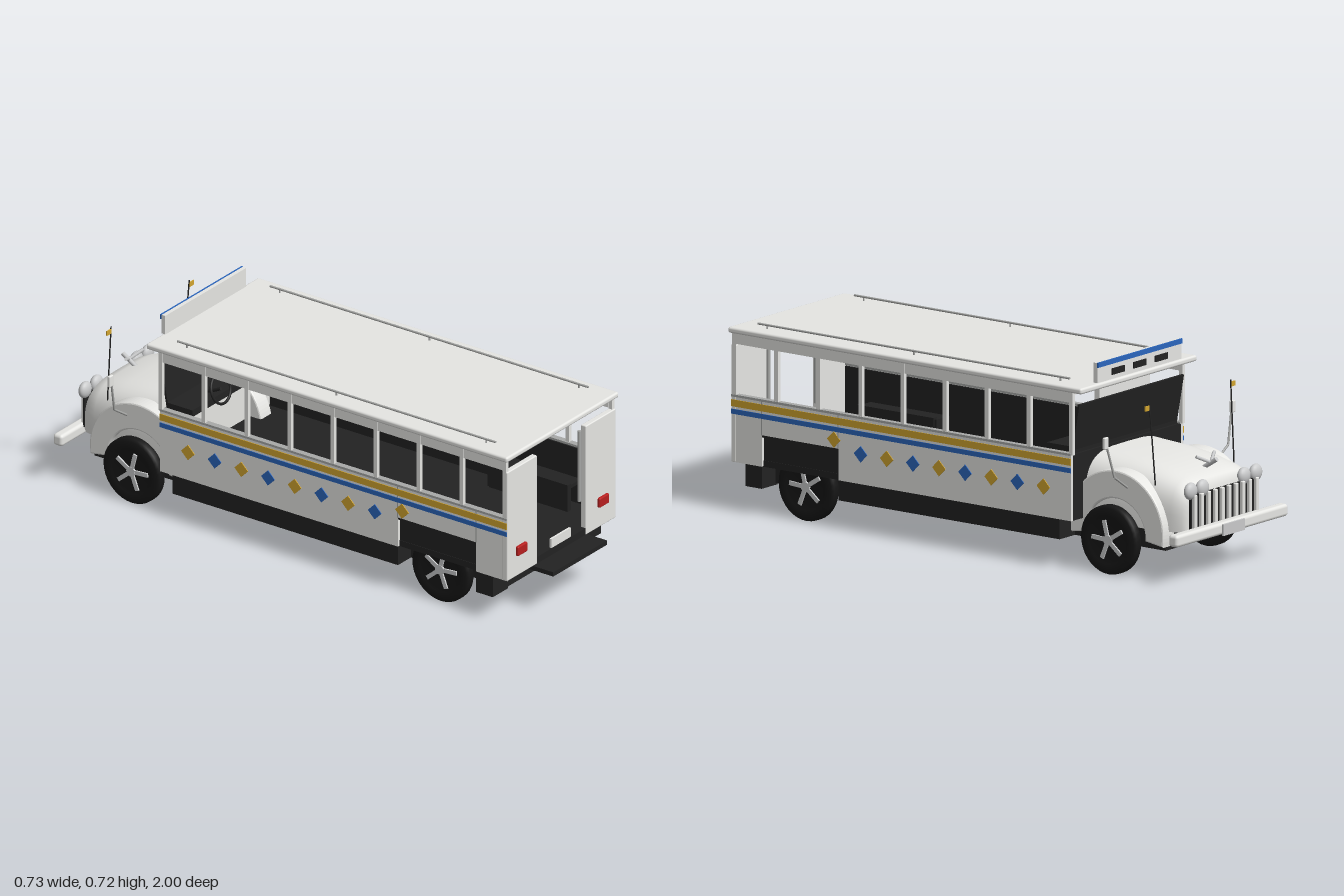
import * as THREE from 'three';
import { RoundedBoxGeometry } from 'three/addons/geometries/RoundedBoxGeometry.js';

const mat = (name, color) => {
  const m = new THREE.MeshStandardMaterial({ color });
  m.name = name;
  return m;
};

export function createModel() {
  const white = mat('body white', 0xe6e6e3);
  const trim = mat('trim grey', 0xa9aaa8);
  const black = mat('chassis black', 0x222222);
  const rubber = mat('tyre black', 0x161616);
  const silver = mat('silver', 0xc9cacb);
  const red = mat('tail light red', 0xb81f1f);
  const yellow = mat('yellow', 0xd2a52f);
  const blue = mat('blue', 0x2b66bd);
  const bus = new THREE.Group();
  bus.name = 'bus';

  const add = (name, geo, m, x = 0, y = 0, z = 0, parent = bus) => {
    const mesh = new THREE.Mesh(geo, m);
    mesh.name = name;
    mesh.position.set(x, y, z);
    parent.add(mesh);
    return mesh;
  };
  // box from its extents
  const box = (name, m, x0, x1, y0, y1, z0, z1, r = 0) => {
    const s = [Math.abs(x1 - x0), Math.abs(y1 - y0), Math.abs(z1 - z0)];
    const geo = r ? new RoundedBoxGeometry(...s, 2, r) : new THREE.BoxGeometry(...s);
    return add(name, geo, m, (x0 + x1) / 2, (y0 + y1) / 2, (z0 + z1) / 2);
  };
  // round bar between two points
  const bar = (name, m, a, b, r) => {
    const A = new THREE.Vector3(...a), B = new THREE.Vector3(...b);
    const d = B.clone().sub(A);
    const mesh = add(name, new THREE.CylinderGeometry(r, r, d.length(), 8), m);
    mesh.position.copy(A.add(B).multiplyScalar(0.5));
    mesh.quaternion.setFromUnitVectors(new THREE.Vector3(0, 1, 0), d.normalize());
    return mesh;
  };

  // chassis and floor
  box('chassis', black, -0.225, 0.225, 0.1, 0.17, -0.88, 0.86);
  box('underfloor', black, -0.31, 0.31, 0.1, 0.17, -0.49, 0.46);
  box('floor', black, -0.3, 0.3, 0.168, 0.19, -0.53, 0.91);
  box('rearSill', black, -0.14, 0.14, 0.17, 0.195, 0.9, 0.92);
  box('rearStep', black, -0.155, 0.155, 0.15, 0.166, 0.86, 1.0);
  box('rearPlate', white, -0.056, 0.056, 0.196, 0.23, 0.912, 0.92);

  // roof with rails and destination board
  box('roof', white, -0.323, 0.323, 0.62, 0.641, -0.592, 0.928, 0.008);
  box('signBoard', white, -0.233, 0.233, 0.645, 0.715, -0.592, -0.576);
  box('signBlueTop', blue, -0.234, 0.234, 0.699, 0.716, -0.597, -0.591);
  for (const x of [-0.12, 0, 0.12]) box('signSlot', black, x - 0.035, x + 0.035, 0.66, 0.682, -0.596, -0.59);

  // bonnet lofted from rounded cross-sections
  const sections = [[-0.54, 0.236, 0.393], [-0.68, 0.232, 0.385], [-0.8, 0.225, 0.37],
    [-0.89, 0.214, 0.35], [-0.93, 0.203, 0.332], [-0.95, 0.185, 0.305], [-0.953, 0.01, 0.2]];
  const N = 24, pos = [], idx = [];
  sections.forEach(([z, w, top], j) => {
    for (let i = 0; i <= N; i++) {
      const t = (i / N) * Math.PI, c = Math.cos(t);
      pos.push(w * Math.sign(c) * Math.abs(c) ** 0.5, 0.165 + (top - 0.165) * Math.max(0, Math.sin(t)) ** 0.55, z);
      if (j && i < N) {
        const a = (j - 1) * (N + 1) + i, b = a + N + 1;
        idx.push(a, a + 1, b, a + 1, b + 1, b);
      }
    }
  });
  const hoodGeo = new THREE.BufferGeometry();
  hoodGeo.setAttribute('position', new THREE.Float32BufferAttribute(pos, 3));
  hoodGeo.setIndex(idx);
  hoodGeo.computeVertexNormals();
  const hoodWhite = mat('bonnet white', 0xe6e6e3);
  hoodWhite.side = THREE.DoubleSide;
  add('bonnet', hoodGeo, hoodWhite);

  // grille, bumper and ornament
  box('grilleBack', black, -0.185, 0.185, 0.17, 0.295, -0.958, -0.95);
  for (let i = 0; i < 10; i++) {
    const x = -0.171 + i * 0.038;
    box('grilleBar', white, x - 0.008, x + 0.008, 0.17, 0.297, -0.97, -0.955, 0.004);
  }
  box('bumper', white, -0.31, 0.31, 0.14, 0.183, -0.995, -0.955, 0.012);
  box('frontPlate', silver, -0.06, 0.06, 0.138, 0.178, -1.0, -0.993);
  for (const s of [-1, 1]) box('bumperBracket', black, s * 0.12, s * 0.16, 0.145, 0.17, -0.96, -0.87);
  bar('ornamentBody', silver, [0, 0.35, -0.87], [0, 0.385, -0.925], 0.008);
  for (const s of [-1, 1]) bar('ornamentWing', silver, [0, 0.37, -0.9], [s * 0.05, 0.395, -0.875], 0.006);

  // cab: front wall, dashboard, windscreen, header and steering wheel
  box('frontWallInside', white, -0.3, 0.3, 0.17, 0.39, -0.53, -0.525);
  box('frontWallOutside', black, -0.3, 0.3, 0.17, 0.4, -0.54, -0.53);
  box('dashboardRail', trim, -0.29, 0.29, 0.378, 0.39, -0.525, -0.505);
  box('dashboard', black, -0.29, 0.29, 0.4, 0.425, -0.53, -0.42);
  const screen = add('windscreen', new THREE.BoxGeometry(0.58, 0.172, 0.008), black, 0, 0.49, -0.54);
  screen.rotation.x = -0.18;
  box('frontHeader', white, -0.14, 0.14, 0.53, 0.622, -0.53, -0.515);
  box('frontRail', white, -0.31, 0.31, 0.61, 0.622, -0.545, -0.53);
  const steering = add('steeringWheel', new THREE.TorusGeometry(0.052, 0.005, 8, 28), black, -0.14, 0.452, -0.41);
  steering.rotation.x = -0.3;
  bar('steeringColumn', black, [-0.14, 0.452, -0.41], [-0.14, 0.4, -0.52], 0.006);

  // diamond and star-spoke helpers
  const diamond = new THREE.BoxGeometry(0.006, 0.04, 0.04).rotateX(Math.PI / 4);
  const tyreGeo = new THREE.LatheGeometry([[0, -0.014], [0.075, -0.014], [0.082, -0.02], [0.112, -0.02],
    [0.12, -0.012], [0.12, 0.012], [0.112, 0.02], [0.082, 0.02], [0.075, 0.014], [0, 0.014]]
    .map(([x, y]) => new THREE.Vector2(x, y)), 36).rotateZ(-Math.PI / 2);
  const tyreMat = rubber;
  const wheel = (s, z) => {
    const g = new THREE.Group();
    g.name = 'wheel';
    g.position.set(s * 0.27, 0.12, z);
    bus.add(g);
    add('tyre', tyreGeo, tyreMat, 0, 0, 0, g);
    const hub = add('hub', new THREE.CylinderGeometry(0.018, 0.018, 0.01, 16), silver, s * 0.016, 0, 0, g);
    hub.rotation.z = Math.PI / 2;
    for (let i = 0; i < 5; i++) {
      const geo = new THREE.BoxGeometry(0.008, 0.06, 0.015).translate(0, 0.04, 0);
      add('spoke', geo, silver, s * 0.016, 0, 0, g).rotation.x = (i * 2 * Math.PI) / 5 + 0.25;
    }
  };

  // front fender arch
  const arch = new THREE.Shape();
  arch.absarc(0.68, 0.15, 0.2, -0.15, Math.PI + 0.15, false);
  arch.absarc(0.68, 0.13, 0.133, Math.PI, 0, true);
  const archGeo = new THREE.ExtrudeGeometry(arch, {
    depth: 0.05, bevelEnabled: true, bevelSize: 0.006, bevelThickness: 0.006, bevelSegments: 2, curveSegments: 28,
  }).rotateY(Math.PI / 2);

  for (const s of [-1, 1]) {
    // side wall
    const side = (name, m, y0, y1, z0, z1, x0 = 0.298, x1 = 0.311) => box(name, m, s * x0, s * x1, y0, y1, z0, z1);
    side('sidePanel', white, 0.17, 0.4, -0.54, 0.46);
    side('panelOverWheel', white, 0.28, 0.4, 0.46, 0.79);
    side('rearSidePanel', white, 0.17, 0.4, 0.79, 0.92);
    side('innerLining', black, 0.19, 0.395, -0.52, 0.91, 0.292, 0.298);
    side('windowSill', trim, 0.398, 0.406, -0.54, 0.92, 0.292, 0.314);
    side('windowHeader', white, 0.583, 0.622, -0.54, 0.9);
    for (let i = 0; i < 9; i++) {
      const z = 0.909 - i * 0.181;
      side('windowPost', white, 0.4, 0.62, z - 0.008, z + 0.008, 0.298, 0.312);
    }
    for (const z of [0.46, 0.79]) side('panelSeam', trim, 0.28, 0.4, z - 0.002, z + 0.002, 0.31, 0.313);
    side('yellowStripe', yellow, 0.364, 0.388, -0.54, 0.92, 0.309, 0.314);
    side('blueStripe', blue, 0.338, 0.355, -0.54, 0.92, 0.309, 0.314);
    for (let i = 0; i < 8; i++) add('diamond', diamond, i % 2 ? yellow : blue, s * 0.311, 0.275, 0.364 - i * 0.1123);
    add('rearDiamond', diamond, yellow, s * 0.311, 0.31, 0.479);

    // rear wheel well and mud guard
    box('wheelWell', black, s * 0.215, s * 0.235, 0.1, 0.29, 0.46, 0.79);
    box('wheelWellTop', black, s * 0.22, s * 0.309, 0.272, 0.285, 0.46, 0.79);
    box('wheelWellFront', black, s * 0.22, s * 0.308, 0.1, 0.285, 0.45, 0.46);
    box('mudGuard', black, s * 0.225, s * 0.311, 0.093, 0.172, 0.79, 0.86);
    wheel(s, 0.62);
    wheel(s, -0.68);

    // rear corner panel, grab rail and tail light
    box('rearPanel', white, s * 0.14, s * 0.312, 0.17, 0.58, 0.9, 0.922, 0.004);
    bar('grabRail', trim, [s * 0.132, 0.295, 0.9], [s * 0.132, 0.56, 0.9], 0.007);
    box('tailLight', red, s * 0.207, s * 0.263, 0.247, 0.283, 0.918, 0.932, 0.005);

    // roof rail
    bar('roofRail', trim, [s * 0.267, 0.655, 0.84], [s * 0.267, 0.655, -0.5], 0.004);
    for (const z of [0.8, 0.17, -0.46]) bar('railFoot', trim, [s * 0.267, 0.638, z], [s * 0.267, 0.655, z], 0.003);

    // fender, headlights, flag pole and mirror
    add('fender', archGeo, white, s > 0 ? 0.19 : -0.24, 0, 0);
    for (const x of [0.115, 0.18]) {
      const lamp = add('headlight', new THREE.SphereGeometry(0.03, 20, 12), silver, s * x, 0.31, -0.952);
      lamp.scale.z = 0.6;
    }
    bar('flagPole', black, [s * 0.218, 0.32, -0.83], [s * 0.225, 0.605, -0.81], 0.0025);
    box('flag', yellow, s * 0.225, s * 0.25, 0.58, 0.597, -0.812, -0.808);
    bar('mirrorArm', trim, [s * 0.24, 0.3, -0.73], [s * 0.315, 0.35, -0.73], 0.004);
    bar('mirrorStem', trim, [s * 0.315, 0.35, -0.73], [s * 0.345, 0.46, -0.72], 0.004);
    box('mirror', white, s * 0.34, s * 0.363, 0.454, 0.496, -0.726, -0.714, 0.004);
  }
  return bus;
}
